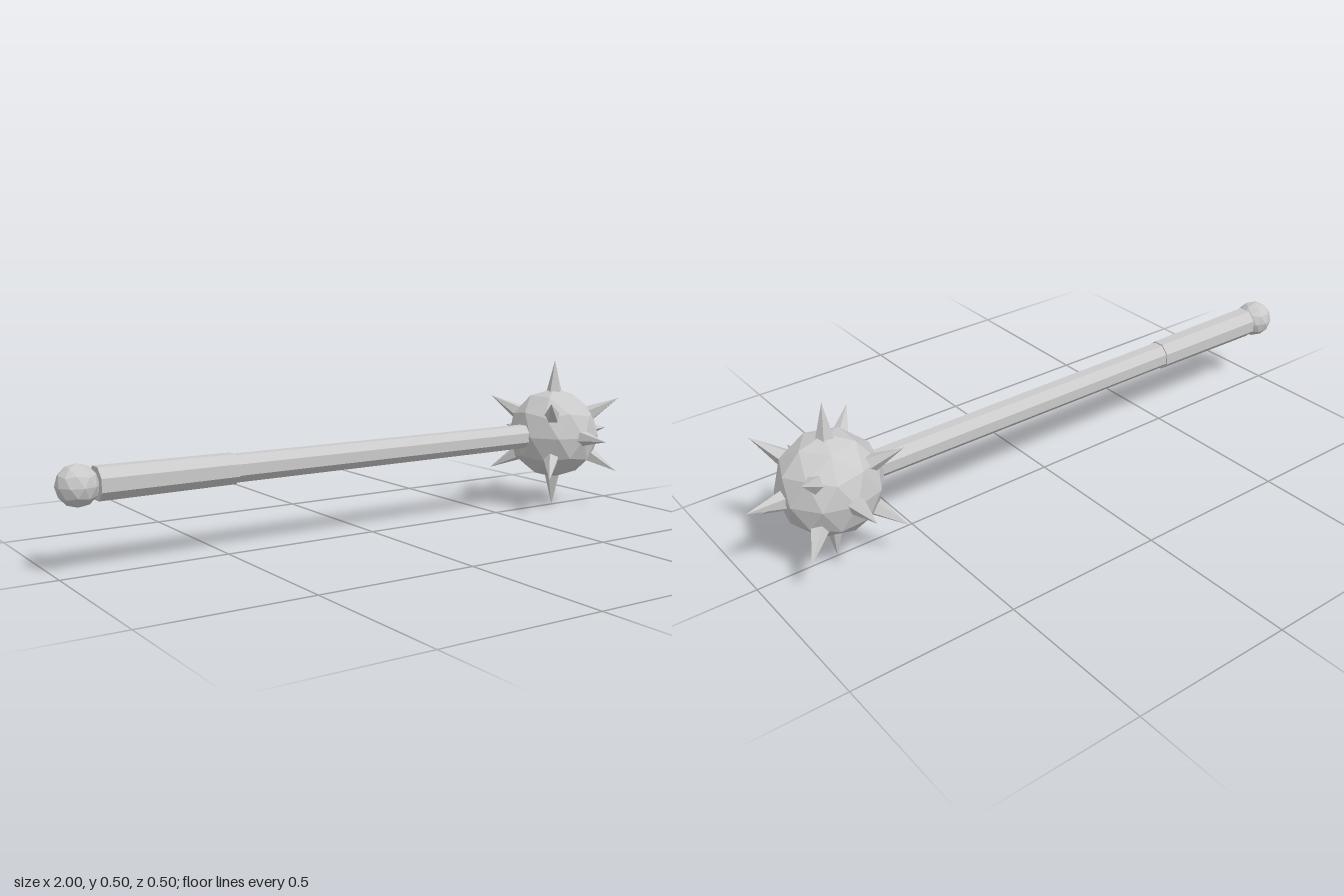
import * as THREE from 'three';

// Gives every facet its own normal
function faceted(geometry) {
  const g = geometry.index ? geometry.toNonIndexed() : geometry;
  g.computeVertexNormals();
  return g;
}

export function createModel() {
  const model = new THREE.Group();
  model.name = 'spikedMace';
  const metal = new THREE.MeshStandardMaterial({ color: 0xcacaca });
  metal.name = 'light grey metal';

  const axisY = 0.25;
  const headX = 0.75;

  function add(name, geometry, x, y = axisY, z = 0) {
    const mesh = new THREE.Mesh(faceted(geometry), metal);
    mesh.name = name;
    mesh.position.set(x, y, z);
    model.add(mesh);
    return mesh;
  }

  // Faceted ball with one vertex straight up
  function ball(name, radius, x) {
    const g = new THREE.IcosahedronGeometry(radius, 1);
    g.rotateZ(-Math.atan(2 / (1 + Math.sqrt(5))));
    return add(name, g, x);
  }

  // Eight-sided bar along x with flat top and sides
  function bar(name, x0, x1, r0, r1) {
    const g = new THREE.CylinderGeometry(r1, r0, x1 - x0, 8);
    g.rotateY(Math.PI / 8);
    g.rotateZ(-Math.PI / 2);
    return add(name, g, (x0 + x1) / 2);
  }

  ball('pommel', 0.06, -0.94);
  bar('grip', -0.89, -0.48, 0.05, 0.047);
  bar('shaft', -0.5, 0.64, 0.043, 0.041);
  ball('head', 0.153, headX);

  // Spike tips relative to the head: five on the axes, eight on the diagonals
  const tips = [[0.25, 0, 0], [0, 0.25, 0], [0, -0.25, 0], [0, 0, 0.25], [0, 0, -0.25]];
  for (const sx of [-1, 1])
    for (const sy of [-1, 1])
      for (const sz of [-1, 1]) tips.push([0.152 * sx, 0.126 * sy, 0.152 * sz]);

  const up = new THREE.Vector3(0, 1, 0);
  const height = 0.12;
  for (const t of tips) {
    const tip = new THREE.Vector3(...t);
    const dir = tip.clone().normalize();
    const p = tip.addScaledVector(dir, -height / 2);
    const spike = add('spike', new THREE.ConeGeometry(0.03, height, 5), headX + p.x, axisY + p.y, p.z);
    spike.quaternion.setFromUnitVectors(up, dir);
  }

  return model;
}
